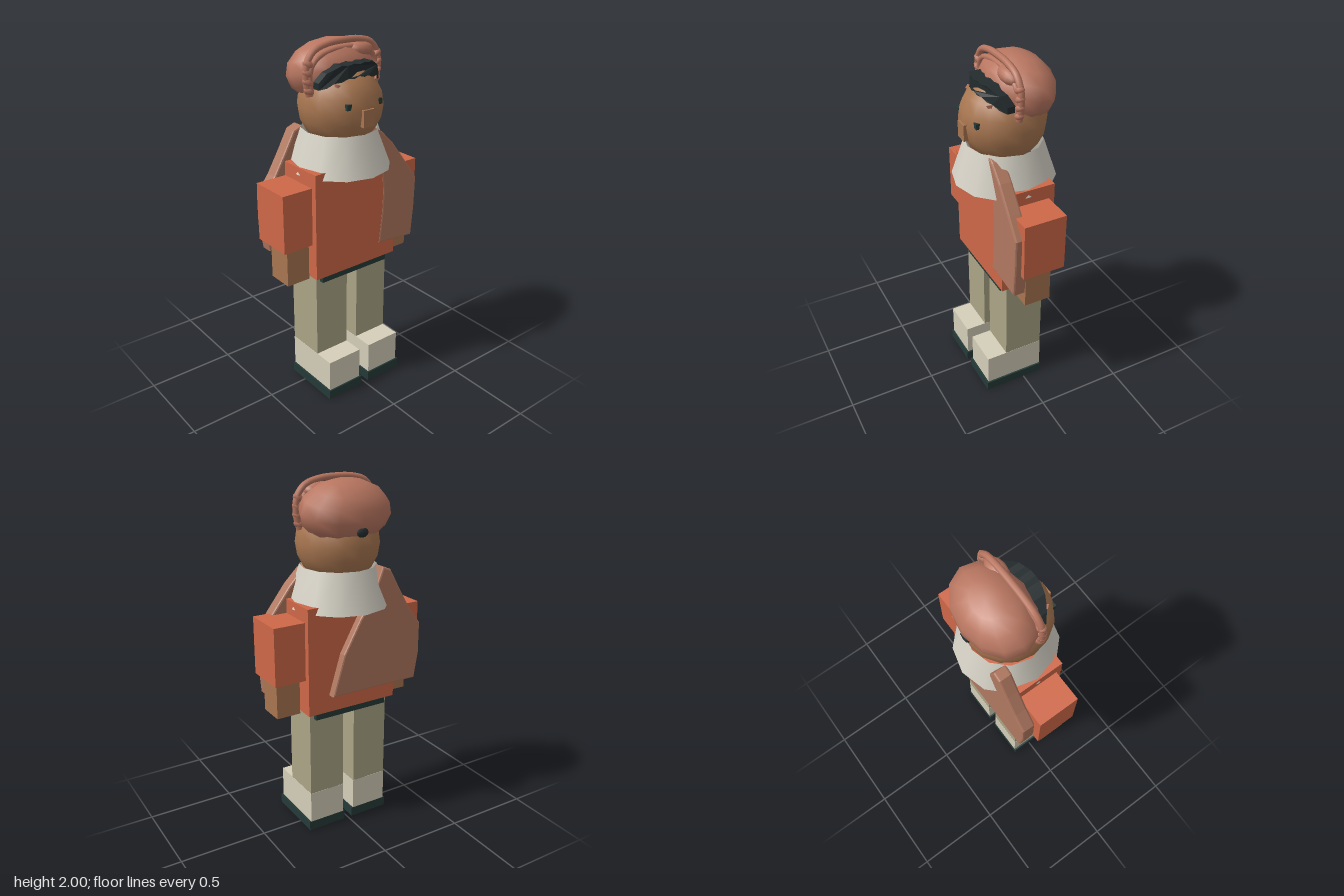
import * as THREE from 'three';

const mat = (color, side = THREE.FrontSide) => new THREE.MeshStandardMaterial({ color, side });
const M = {
  jacket: mat(0xcf6848), skin: mat(0xa87650), trousers: mat(0xaca587), shoe: mat(0xd5cfba),
  dark: mat(0x243a38), hair: mat(0x242c2e), cape: mat(0xb07860), hat: mat(0xb87660),
  collar: mat(0xd4d0c4, THREE.DoubleSide),
};

export function createModel() {
  const model = new THREE.Group();

  const add = (name, geometry, material, x = 0, y = 0, z = 0) => {
    const mesh = new THREE.Mesh(geometry, material);
    mesh.name = name;
    mesh.position.set(x, y, z);
    model.add(mesh);
    return mesh;
  };
  // box given by its minimum and maximum on each axis
  const box = (name, material, x0, x1, y0, y1, z0, z1) =>
    add(name, new THREE.BoxGeometry(x1 - x0, y1 - y0, z1 - z0), material,
      (x0 + x1) / 2, (y0 + y1) / 2, (z0 + z1) / 2);
  // the same box on both sides
  const pair = (name, material, x0, x1, ...rest) => {
    box(name + 'Left', material, x0, x1, ...rest);
    box(name + 'Right', material, -x1, -x0, ...rest);
  };
  const ellipsoid = (name, material, pos, scale, w = 12, h = 8) => {
    const mesh = add(name, new THREE.SphereGeometry(1, w, h), material, ...pos);
    mesh.scale.set(...scale);
    return mesh;
  };

  // legs and shoes
  pair('sole', M.dark, 0.025, 0.26, 0, 0.055, -0.115, 0.242);
  pair('shoe', M.shoe, 0.035, 0.25, 0.055, 0.24, -0.114, 0.232);
  pair('trouserLeg', M.trousers, 0.036, 0.249, 0.24, 0.74, -0.113, 0.113);

  // torso and arms
  box('belt', M.dark, -0.225, 0.225, 0.71, 0.76, -0.14, 0.14);
  box('jacket', M.jacket, -0.275, 0.275, 0.75, 1.355, -0.153, 0.153);
  pair('sleeve', M.jacket, 0.27, 0.455, 0.95, 1.275, -0.12, 0.12);
  pair('hand', M.skin, 0.28, 0.42, 0.735, 0.96, -0.06, 0.09);

  // wide open collar
  add('collar', new THREE.CylinderGeometry(0.208, 0.28, 0.215, 12, 1, true), M.collar, 0, 1.4225, 0);

  // cape panels with a narrow bevel
  const panel = (name, outline, z0, z1) => {
    const b = 0.01;
    const geometry = new THREE.ExtrudeGeometry(
      new THREE.Shape(outline.map(([x, y]) => new THREE.Vector2(x, y))),
      { depth: z1 - z0 - 2 * b, bevelThickness: b, bevelSize: b, bevelOffset: -b, bevelSegments: 2 });
    add(name, geometry, M.cape, 0, 0, z0 + b);
  };
  panel('capeFront', [[0.12, 1.53], [0.17, 1.5], [0.25, 1.42], [0.35, 1.29], [0.43, 1.18],
    [0.425, 1.0], [0.41, 0.82], [0.16, 0.84], [0.18, 1.02], [0.185, 1.15], [0.17, 1.31]], 0.08, 0.157);
  panel('capeBack', [[-0.16, 1.53], [-0.21, 1.51], [-0.27, 1.4], [-0.34, 1.28], [-0.415, 1.18],
    [-0.415, 1.0], [-0.39, 0.85], [0.15, 0.85], [0.08, 1.08], [-0.02, 1.26], [-0.1, 1.38]], -0.197, -0.12);

  // head and face
  ellipsoid('head', M.skin, [0, 1.655, 0.005], [0.227, 0.23, 0.23], 16, 10);
  box('nose', M.skin, -0.035, 0.035, 1.58, 1.67, 0.18, 0.242);
  pair('eye', M.dark, 0.087, 0.115, 1.675, 1.705, 0.17, 0.21);
  for (const s of [-1, 1]) {
    const brow = add('brow', new THREE.ConeGeometry(0.022, 0.04, 4), M.hat, s * 0.125, 1.775, 0.135);
    brow.rotation.z = Math.PI + s * 0.4;
  }

  // fringe: an arched slab bent around the forehead
  const upper = [], lower = [];
  for (let i = 0; i <= 12; i++) {
    const x = -0.195 + 0.39 * i / 12, u = x / 0.195;
    upper.push(new THREE.Vector2(x, 1.885 - 0.085 * u ** 4 + (i % 2 ? 0.006 : 0)));
    lower.push(new THREE.Vector2(x, 1.825 - 0.06 * u * u + (i % 2 ? -0.008 : 0)));
  }
  const fringe = new THREE.ExtrudeGeometry(new THREE.Shape([...lower, ...upper.reverse()]),
    { depth: 0.13, bevelEnabled: false });
  const p = fringe.attributes.position;
  for (let i = 0; i < p.count; i++) p.setZ(i, p.getZ(i) + 0.035 - 2.2 * p.getX(i) ** 2);
  fringe.computeVertexNormals();
  add('fringe', fringe, M.hair);

  // soft hat, tilted down at the back, with a tuft of hair showing
  ellipsoid('hat', M.hat, [0, 1.82, -0.07], [0.26, 0.165, 0.185]).rotation.x = -0.25;
  ellipsoid('hairTuft', M.hair, [0, 1.735, -0.235], [0.035, 0.025, 0.014], 8, 6);

  // rolled brim: two ropes over the hat, side twists and a knot
  const rope = (name, half, z, radius) => {
    const pts = [...half.map(([x, y]) => [-x, y]), ...half.slice(0, -1).reverse()];
    const curve = new THREE.CatmullRomCurve3(pts.map(([x, y]) => new THREE.Vector3(x, y, z)));
    add(name, new THREE.TubeGeometry(curve, 32, radius, 8), M.hat);
  };
  rope('outerBrim', [[0.215, 1.73], [0.232, 1.8], [0.228, 1.89], [0.185, 1.95], [0.1, 1.977], [0, 1.983]], 0.028, 0.018);
  rope('innerBrim', [[0.2, 1.73], [0.215, 1.8], [0.205, 1.87], [0.165, 1.915], [0.09, 1.94], [0, 1.947]], 0.032, 0.016);
  for (const s of [-1, 1]) {
    for (let i = 0; i < 4; i++) {
      const twist = ellipsoid('brimTwist', M.hat,
        [s * (0.218 + 0.008 * Math.sin(i)), 1.755 + i * 0.045, 0.03], [0.032, 0.02, 0.024], 8, 6);
      twist.rotation.z = s * 0.5;
    }
  }
  ellipsoid('brimKnot', M.hat, [0.11, 1.925, 0.03], [0.08, 0.04, 0.048], 12, 8).rotation.z = -0.1;

  return model;
}
